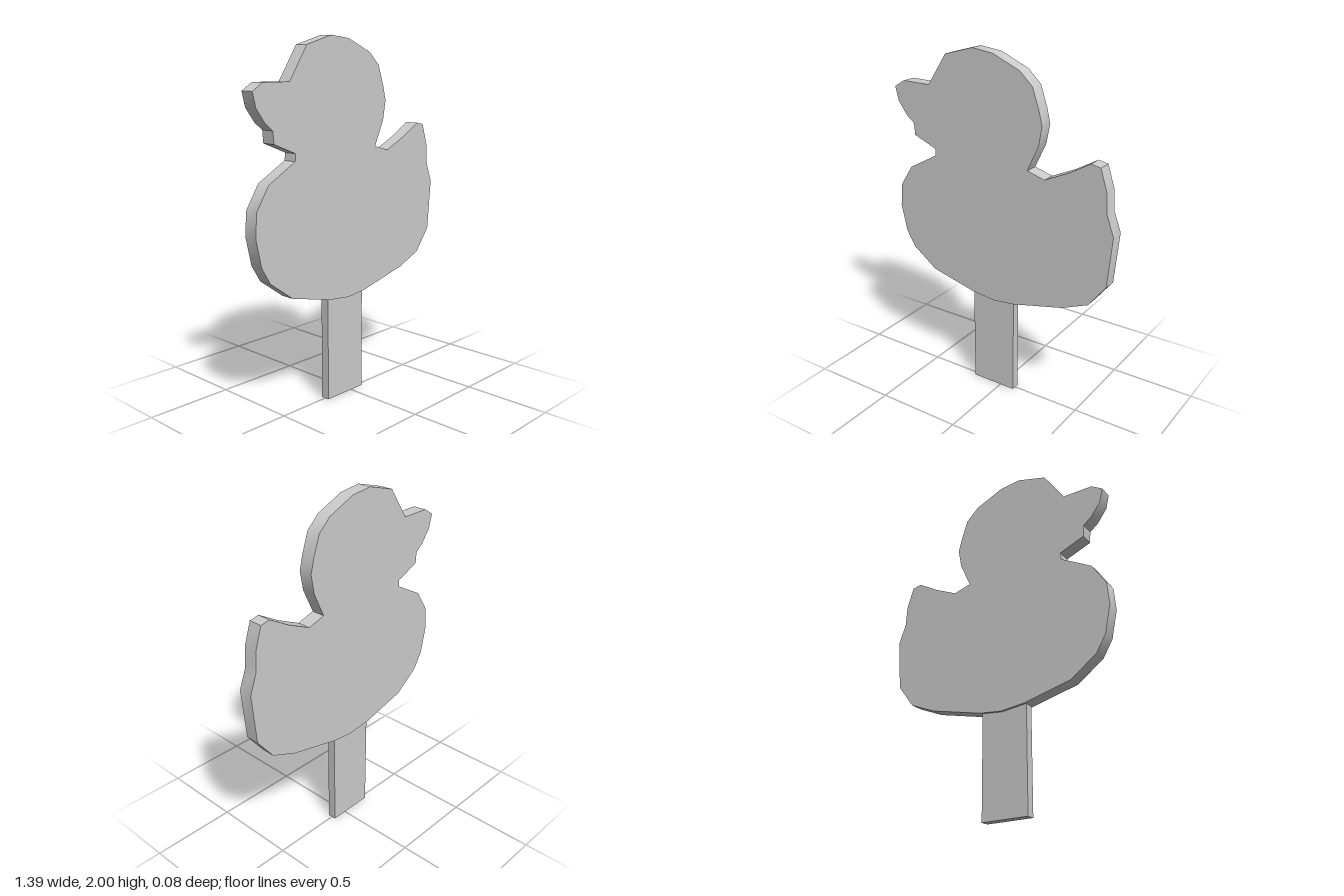
import * as THREE from 'three';
import { toCreasedNormals } from 'three/addons/utils/BufferGeometryUtils.js';

const material = new THREE.MeshStandardMaterial({ color: 0xcccccc });

// Duck silhouette, clockwise from the beak tip
const outline = [
  // beak top and head
  [-0.70, 1.73], [-0.635, 1.77], [-0.46, 1.77], [-0.34, 1.95], [-0.165, 2.0],
  [-0.035, 1.985], [0.13, 1.915], [0.205, 1.845], [0.245, 1.73], [0.265, 1.65],
  [0.245, 1.54], [0.18, 1.40],
  // back and tail
  [0.285, 1.37], [0.425, 1.435], [0.55, 1.508], [0.605, 1.497], [0.645, 1.375],
  [0.652, 1.26], [0.695, 1.145], [0.67, 0.855],
  // belly
  [0.57, 0.725], [0.415, 0.66], [0.10, 0.585], [-0.035, 0.57], [-0.185, 0.587],
  [-0.46, 0.655], [-0.61, 0.765], [-0.665, 0.857],
  // breast and throat
  [-0.70, 1.015], [-0.69, 1.145], [-0.61, 1.27], [-0.43, 1.37], [-0.425, 1.41],
  // beak underside
  [-0.57, 1.468], [-0.575, 1.535], [-0.625, 1.575], [-0.68, 1.65],
];

export function createModel() {
  const model = new THREE.Group();
  model.name = 'duckOnStick';

  // Flat duck board with softened rim shading
  const depth = 0.08;
  const shape = new THREE.Shape(outline.map(([x, y]) => new THREE.Vector2(x, y)));
  const board = new THREE.ExtrudeGeometry(shape, { depth, bevelEnabled: false });
  board.translate(0, 0, -depth / 2);
  const duck = new THREE.Mesh(toCreasedNormals(board, Math.PI / 6), material);
  duck.name = 'duckBoard';
  model.add(duck);

  // Stick, tucked a little into the board
  const stick = new THREE.Mesh(new THREE.BoxGeometry(0.275, 0.62, 0.05), material);
  stick.name = 'stick';
  stick.position.set(-0.0475, 0.31, 0);
  model.add(stick);

  return model;
}
